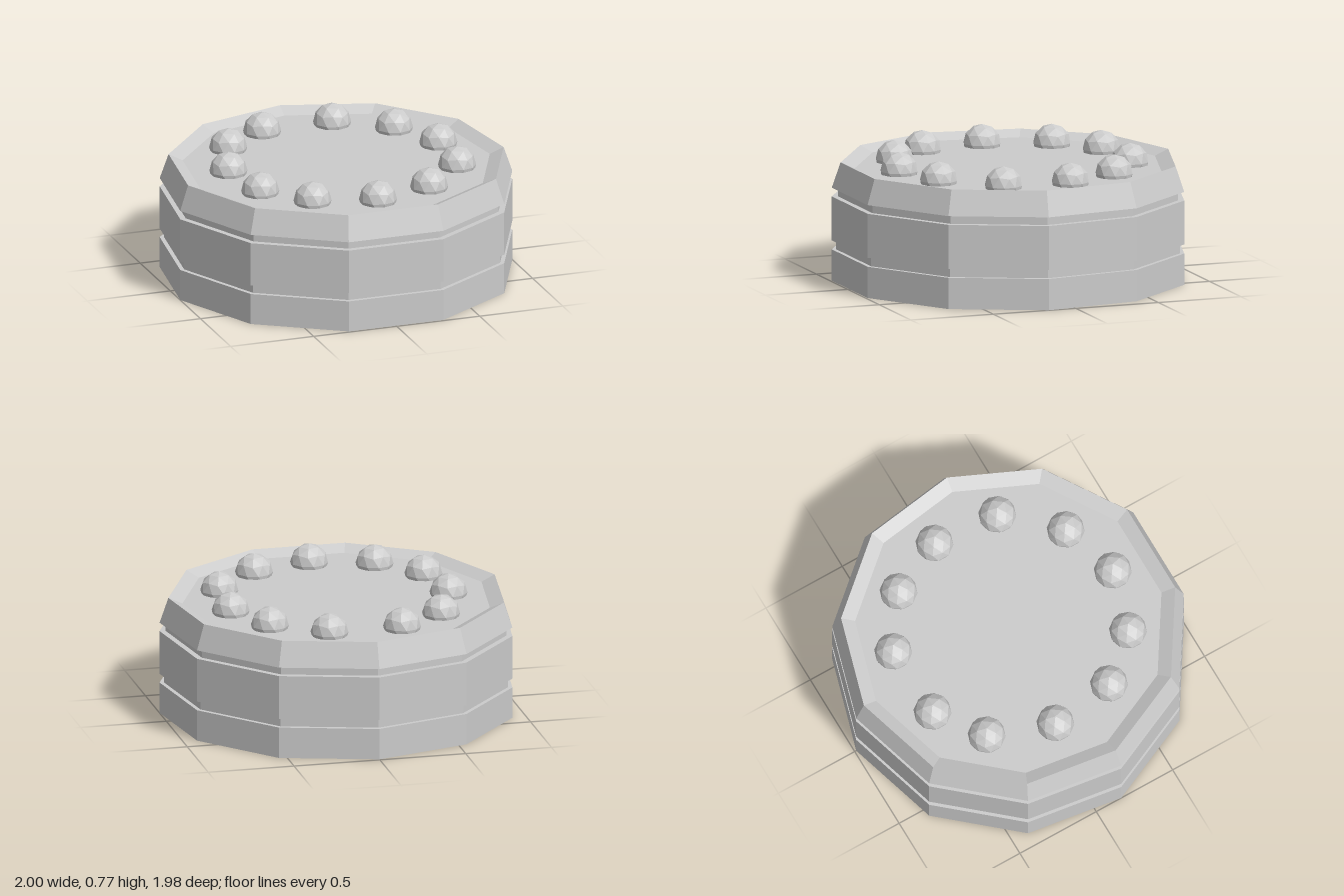
import * as THREE from 'three';

const SIDES = 11;
const CENTRE_Z = 0.02; // an odd-sided ring sits off the middle of its bounds

// [x, z] of each ball on the top
const BALLS = [
  [0, 0.69], [0.347, 0.583], [0.62, 0.294], [0.65, -0.1], [0.5, -0.422], [0.203, -0.63],
  [-0.222, -0.62], [-0.497, -0.425], [-0.631, -0.053], [-0.578, 0.329], [-0.355, 0.583],
];

export function createModel() {
  const model = new THREE.Group();
  model.name = 'layeredCake';
  const material = new THREE.MeshStandardMaterial({ color: 0xcccccc, flatShading: true });

  // Each layer is a faceted ring turned from a [radius, y] profile, corner towards the back
  function addLayer(name, profile) {
    const points = profile.map(([r, y]) => new THREE.Vector2(r, y));
    const mesh = new THREE.Mesh(new THREE.LatheGeometry(points, SIDES, Math.PI), material);
    mesh.name = name;
    mesh.position.z = CENTRE_Z;
    model.add(mesh);
  }

  addLayer('bottomLayer', [[0, 0], [1.01, 0], [1.01, 0.18], [0.985, 0.18]]);
  addLayer('lowerFilling', [[0.985, 0.18], [0.985, 0.232]]);
  addLayer('middleLayer', [[0.985, 0.232], [1.01, 0.232], [1.01, 0.485], [0.975, 0.485]]);
  addLayer('upperFilling', [[0.975, 0.485], [0.975, 0.535]]);
  // Sloped sides, thin rim and a shallow sunken top
  addLayer('topLayer', [[0.975, 0.535], [1.01, 0.535], [0.96, 0.68], [0.88, 0.645], [0, 0.645]]);

  // Low-poly balls with one corner pointing straight up
  const ballGeometry = new THREE.IcosahedronGeometry(0.108, 1);
  ballGeometry.rotateZ(-Math.atan(2 / (1 + Math.sqrt(5))));
  BALLS.forEach(([x, z], i) => {
    const ball = new THREE.Mesh(ballGeometry, material);
    ball.name = `toppingBall${i + 1}`;
    ball.position.set(x, 0.663, z);
    model.add(ball);
  });

  return model;
}
